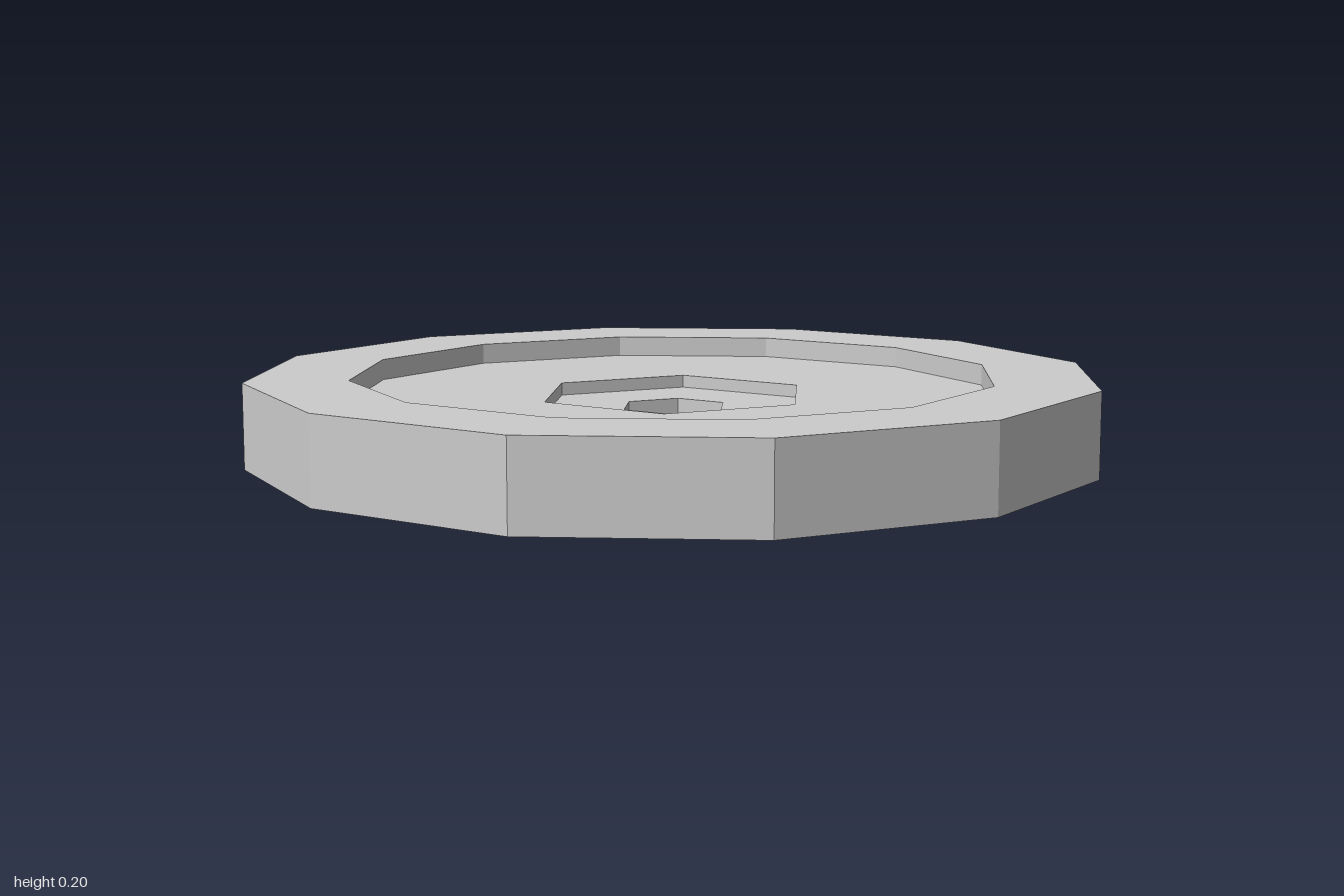
import * as THREE from 'three';
import { mergeGeometries } from 'three/addons/utils/BufferGeometryUtils.js';

const MID = 0.1; // height of the disc's middle plane
const TURN = Math.PI / 12; // twist of the hexagons

// Polygon outlines, from the outer edge to the centre hole
const edge = { r: 1, n: 12, turn: 0 };
const recess = { r: 0.76, n: 12, turn: 0 };
const pocket = { r: 0.331, n: 6, turn: TURN };
const hole = { r: 0.13, n: 6, turn: TURN };

function outline({ r, n, turn }, sign) {
  return Array.from({ length: n }, (_, i) => {
    const a = sign * turn + (i / n) * Math.PI * 2;
    return new THREE.Vector2(r * Math.cos(a), r * Math.sin(a));
  });
}

// Flat ring between two outlines; sign 1 faces up, -1 faces down
function face(outer, inner, h, sign) {
  const shape = new THREE.Shape(outline(outer, -sign));
  shape.holes.push(new THREE.Path(outline(inner, -sign)));
  return new THREE.ShapeGeometry(shape)
    .rotateX(-sign * Math.PI / 2)
    .translate(0, MID + sign * h, 0);
}

// Upright band along an outline; dir 1 faces outward, -1 faces the axis
function wall({ r, n, turn }, y0, y1, dir) {
  return new THREE.CylinderGeometry(r, r, y1 - y0, n, 1, true, turn, dir * Math.PI * 2)
    .translate(0, MID + (y0 + y1) / 2, 0);
}

export function createModel() {
  const group = new THREE.Group();
  const material = new THREE.MeshStandardMaterial({ color: 0xcccccc, flatShading: true });

  function add(name, geometries) {
    const geometry = mergeGeometries(geometries.map((g) => g.toNonIndexed()));
    geometry.computeVertexNormals();
    const mesh = new THREE.Mesh(geometry, material);
    mesh.name = name;
    group.add(mesh);
  }

  // Both flat sides of a step, plus the walls down to the next thinner step
  function step(outer, inner, h, nextH) {
    return [
      face(outer, inner, h, 1),
      face(outer, inner, h, -1),
      wall(inner, nextH, h, -1),
      wall(inner, -h, -nextH, -1),
    ];
  }

  add('rim', [wall(edge, -0.1, 0.1, 1), ...step(edge, recess, 0.1, 0.05)]);
  add('web', step(recess, pocket, 0.05, 0.02));
  add('hub', step(pocket, hole, 0.02, 0));
  return group;
}
